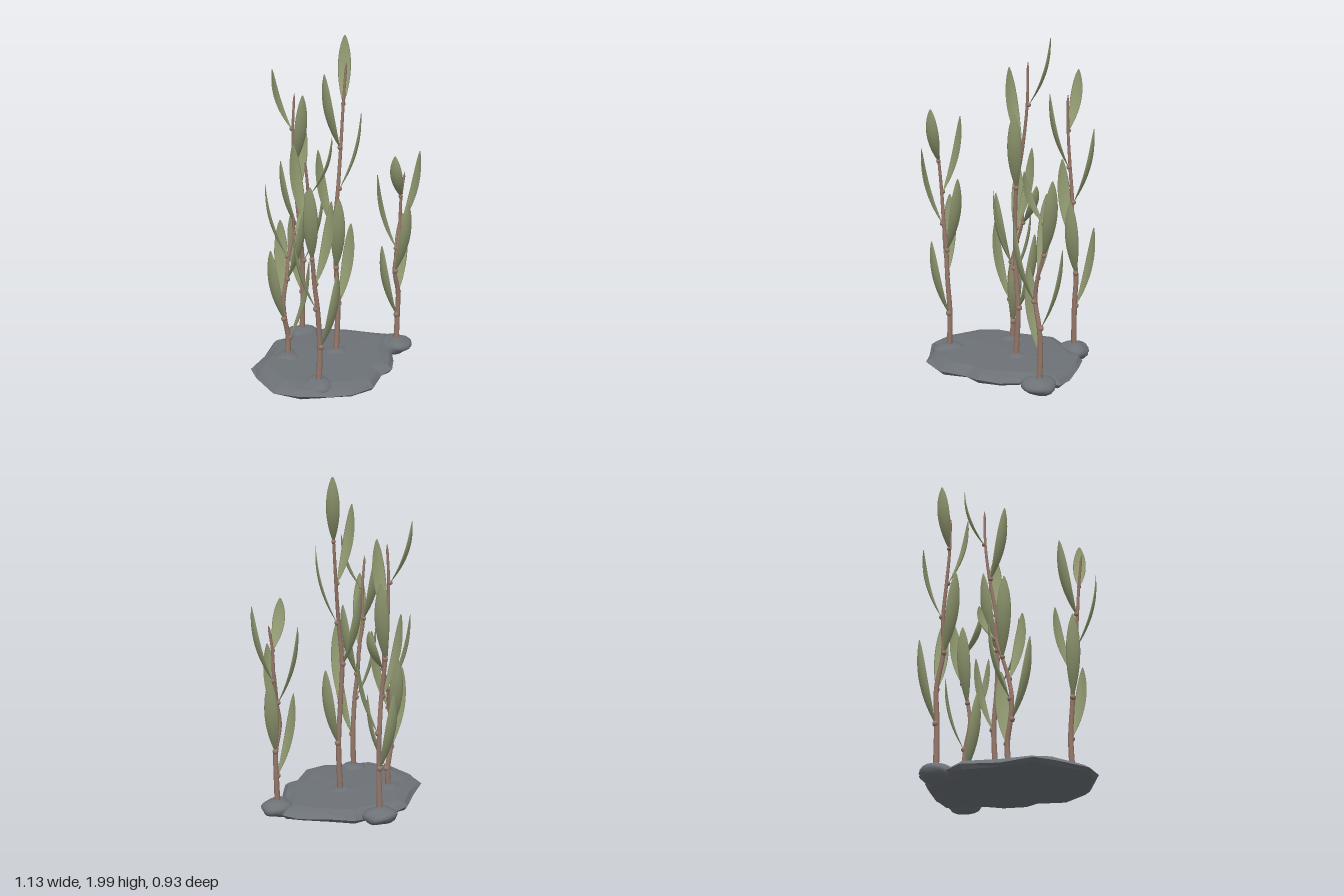
import * as THREE from 'three';
import { mergeVertices } from 'three/addons/utils/BufferGeometryUtils.js';
import { ParametricGeometry } from 'three/addons/geometries/ParametricGeometry.js';

const leafGreen = new THREE.MeshStandardMaterial({ name: 'leafGreen', color: 0x909870 });
const stemBrown = new THREE.MeshStandardMaterial({ name: 'stemBrown', color: 0x96786a });
const rockGrey = new THREE.MeshStandardMaterial({ name: 'rockGrey', color: 0x6d7277 });

const GOLDEN = 137.5;
const NODES = 6;

// Each stalk: centre line points, angle of the lowest leaf (degrees, x towards z), size of the top leaf
const STALKS = [
  { path: [[-0.36, 0.05, 0.21], [-0.35, 0.31, 0.21], [-0.37, 0.55, 0.21], [-0.385, 0.7, 0.2], [-0.405, 0.86, 0.2],
    [-0.43, 1.05, 0.19], [-0.44, 1.24, 0.2], [-0.465, 1.44, 0.2]], start: 95, top: 0.33 },
  { path: [[-0.185, 0.05, -0.16], [-0.175, 0.21, -0.16], [-0.2, 0.34, -0.165], [-0.21, 0.46, -0.165], [-0.185, 0.59, -0.16],
    [-0.15, 0.72, -0.17], [-0.105, 0.85, -0.17], [-0.1, 0.97, -0.17]], start: 40, top: 0.25 },
  { path: [[0.04, 0.05, 0.04], [0.06, 0.4, 0.04], [0.04, 0.64, 0.04], [0.03, 0.88, 0.035], [0.05, 1.13, 0.045],
    [0.09, 1.37, 0.035], [0.12, 1.62, 0.03], [0.135, 1.87, 0.04]], start: 0, top: 0.38 },
  { path: [[0.18, 0.05, -0.33], [0.185, 0.35, -0.325], [0.19, 0.56, -0.33], [0.155, 0.77, -0.32], [0.145, 0.99, -0.34],
    [0.125, 1.2, -0.34], [0.11, 1.42, -0.335], [0.115, 1.64, -0.325]], start: -72, top: 0.35 },
  { path: [[0.41, 0.05, 0.235], [0.42, 0.26, 0.235], [0.415, 0.41, 0.24], [0.38, 0.56, 0.235], [0.4, 0.7, 0.24],
    [0.435, 0.84, 0.23], [0.445, 1.02, 0.23], [0.465, 1.17, 0.24]], start: 197, top: 0.28 },
];

function addMesh(parent, name, geometry, material) {
  const mesh = new THREE.Mesh(geometry, material);
  mesh.name = name;
  parent.add(mesh);
  return mesh;
}

// Tapered stem swept along a curve, closed at the tip
function stemGeometry(curve, r0, r1) {
  const rows = 40, sides = 10;
  const geometry = new THREE.TubeGeometry(curve, rows, 1, sides, false);
  const p = geometry.attributes.position;
  const v = new THREE.Vector3();
  for (let i = 0; i <= rows; i++) {
    const c = curve.getPointAt(i / rows);
    const r = i === rows ? 0.0005 : r0 + (r1 - r0) * i / rows;
    for (let j = 0; j <= sides; j++) {
      const k = i * (sides + 1) + j;
      v.fromBufferAttribute(p, k).sub(c).multiplyScalar(r).add(c);
      p.setXYZ(k, v.x, v.y, v.z);
    }
  }
  return geometry;
}

// Lance-shaped blade that leaves the stem outward (+x) and curls upright, slightly cupped
function leafGeometry(length, reach, halfWidth) {
  return new ParametricGeometry((u, t, target) => {
    const a = u * Math.PI * 2;
    const w = halfWidth * Math.max(0.09, Math.pow(Math.sin(Math.PI * Math.pow(t, 1.1)), 0.65));
    const thick = 0.006 * Math.max(0.15, Math.sin(Math.PI * t));
    // Centre line and its normal in the xy plane
    const x = reach * (1 - Math.pow(1 - t, 2.2)), y = length * t;
    const dx = 2.2 * reach * Math.pow(1 - t, 1.2), len = Math.hypot(dx, length);
    const cup = -0.22 * w * Math.cos(a) * Math.cos(a);
    const n = thick * Math.sin(a) + cup;
    target.set(x + n * length / len, y - n * dx / len, w * Math.cos(a));
  }, 12, 20);
}

// Lumpy rounded stone
function stoneGeometry(seed) {
  let geometry = new THREE.SphereGeometry(1, 20, 14);
  geometry.deleteAttribute('uv');
  geometry.deleteAttribute('normal');
  geometry = mergeVertices(geometry, 1e-4);
  const p = geometry.attributes.position;
  for (let i = 0; i < p.count; i++) {
    const x = p.getX(i), y = p.getY(i), z = p.getZ(i);
    const s = 1 + 0.09 * Math.sin(3 * x + seed) * Math.cos(2.5 * z + seed * 2) + 0.06 * Math.sin(5 * z + 4 * y + seed * 3);
    p.setXYZ(i, x * s * 0.098, y * s * 0.05, z * s * 0.095);
  }
  geometry.computeVertexNormals();
  return geometry;
}

// Flat slab: one ragged outline scaled through a few levels, each corner faceted
function slabGeometry() {
  const outline = [[-0.57, 0.04], [-0.48, -0.16], [-0.41, -0.26], [-0.23, -0.31], [-0.03, -0.39], [0.07, -0.37],
    [0.32, -0.25], [0.4, -0.12], [0.47, 0.04], [0.49, 0.14], [0.32, 0.26], [0.21, 0.35], [0.09, 0.42],
    [-0.01, 0.41], [-0.17, 0.465], [-0.33, 0.43], [-0.41, 0.33], [-0.53, 0.2]];
  const levels = [[0.01, 0.012], [0.78, 0.018], [0.95, 0.035], [1, 0.055], [0.94, 0.078], [0.8, 0.094], [0.01, 0.102]];
  const n = outline.length, position = [], index = [];
  levels.forEach(([s, y], l) => outline.forEach(([x, z], i) => {
    const wobble = l > 1 && l < 5 ? 0.006 * Math.sin(i * 2.4 + l * 1.3) : 0;
    position.push(x * s, y + wobble, z * s);
  }));
  for (let l = 0; l < levels.length - 1; l++) {
    for (let i = 0; i < n; i++) {
      const a = l * n + i, b = l * n + (i + 1) % n;
      index.push(a, b + n, b, a, a + n, b + n);
    }
  }
  const indexed = new THREE.BufferGeometry();
  indexed.setAttribute('position', new THREE.Float32BufferAttribute(position, 3));
  indexed.setIndex(index);
  const geometry = indexed.toNonIndexed();
  geometry.computeVertexNormals();
  return geometry;
}

function createStalk({ path, start, top }, number) {
  const stalk = new THREE.Group();
  stalk.name = 'stalk' + (number + 1);
  const points = path.map((p) => new THREE.Vector3(...p));
  addMesh(stalk, 'stem', stemGeometry(new THREE.CatmullRomCurve3(points), 0.0175, 0.007), stemBrown);
  const stone = addMesh(stalk, 'footStone', stoneGeometry(number * 1.7 + 0.5), rockGrey);
  stone.position.set(path[0][0], 0.062, path[0][2]);

  // One knot and one leaf per node, turning by the golden angle
  for (let i = 0; i < NODES; i++) {
    const angle = THREE.MathUtils.degToRad(start + GOLDEN * i);
    const node = points[i + 1];
    const out = new THREE.Vector3(Math.cos(angle), 0, Math.sin(angle)).multiplyScalar(0.009);
    const knot = addMesh(stalk, 'knot', new THREE.SphereGeometry(0.018 - 0.001 * i, 12, 8), stemBrown);
    knot.position.copy(node).add(out);
    const last = i === NODES - 1;
    const leaf = addMesh(stalk, 'leaf', leafGeometry(last ? top : 0.475 - 0.007 * i, 0.123, last ? 0.038 : 0.041), leafGreen);
    leaf.position.copy(node).add(out);
    leaf.rotation.y = -angle;
  }
  return stalk;
}

export function createModel() {
  const model = new THREE.Group();
  model.name = 'seaweedOnRock';
  addMesh(model, 'slab', slabGeometry(), rockGrey);
  STALKS.forEach((s, i) => model.add(createStalk(s, i)));
  return model;
}
